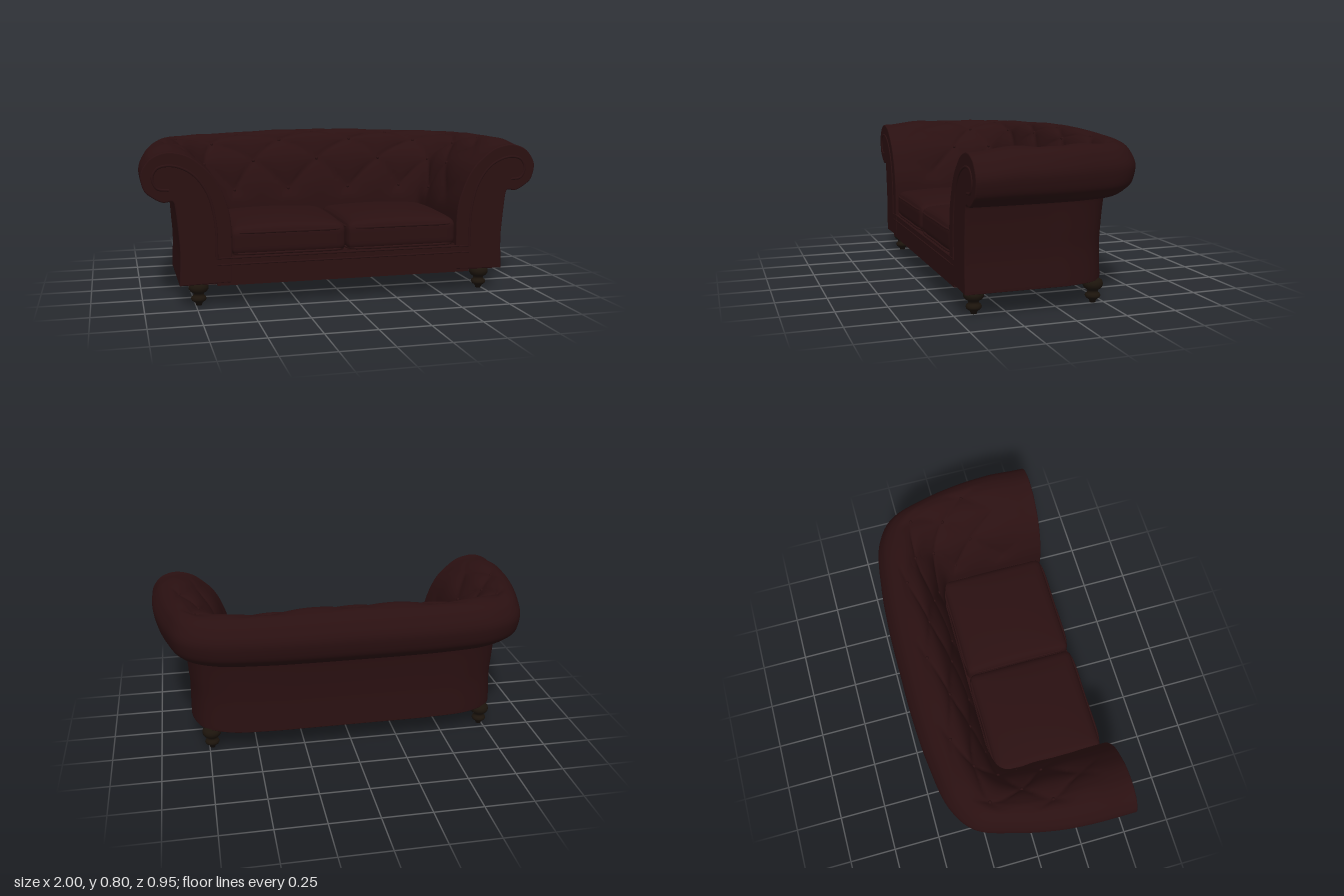
import * as THREE from 'three';

const leather = new THREE.MeshStandardMaterial({ color: 0x2a1011 });
const wood = new THREE.MeshStandardMaterial({ color: 0x1c140c });
const { smoothstep, clamp } = THREE.MathUtils;
const v3 = (x, y, z) => new THREE.Vector3(x, y, z);

function mesh(name, geometry, material = leather) {
  const m = new THREE.Mesh(geometry, material);
  m.name = name;
  return m;
}

// Plan curve: right half given from the front end to the middle of the back, then mirrored
function planCurve(half) {
  const pts = half.map(([x, z]) => v3(x, 0, z));
  const rest = half.slice(0, -1).reverse().map(([x, z]) => v3(-x, 0, z));
  return new THREE.CatmullRomCurve3([...pts, ...rest]);
}
const rollPlan = planCurve([[1, .455], [1, .25], [.985, .08], [.94, -.13], [.87, -.32],
  [.74, -.41], [.5, -.455], [.25, -.473], [0, -.475]]);
const bodyPlan = planCurve([[.83, .455], [.83, .25], [.83, .08], [.825, -.06], [.77, -.2],
  [.64, -.275], [.43, -.298], [.22, -.3], [0, -.3]]);
const seatPlan = planCurve([[.58, .455], [.58, .25], [.58, .08], [.58, -.02], [.565, -.09],
  [.46, -.13], [.33, -.135], [.17, -.135], [0, -.135]]);

// Cross-section: across 0 = seat side, 1 = outer body, 2 = outermost roll
const section = new THREE.CatmullRomCurve3([
  [0, .12], [0, .42], [.12, .54], [.3, .64], [.56, .715], [.8, .76], [1.12, .78], [1.5, .77],
  [1.82, .73], [2, .66], [1.93, .595], [1.7, .55], [1.4, .522], [1.12, .522], [1.08, .5],
  [.98, .3], [1, .13], [1, .115],
].map(([u, y]) => v3(u, y, 0)));
const SECTION_SPANS = 17;

// Point on the arm-and-back shell: t runs round the sofa, s round the section
function shellPoint(t, s) {
  const c = section.getPoint(s);
  const d = 1 - Math.abs(2 * t - 1);
  const k = 1 + .08 * smoothstep(d, .55, 1) - .08 * (1 - smoothstep(d, 0, .12));
  const p = c.x < 1
    ? seatPlan.getPoint(t).lerp(bodyPlan.getPoint(t), c.x)
    : bodyPlan.getPoint(t).lerp(rollPlan.getPoint(t), c.x - 1);
  p.y = c.y > .52 ? .52 + (c.y - .52) * k : c.y;
  return p;
}

// Depth of the diamond tufting, zero on the plain leather
function tuftDepth(t, s) {
  const i = s * SECTION_SPANS, a = t * 16, b = (i - 6) / 1.5;
  const bulge = Math.sqrt(Math.abs(Math.sin(Math.PI * (a + b) / 2) * Math.sin(Math.PI * (a - b) / 2)));
  const fade = smoothstep(i, .9, 1.6) * (1 - smoothstep(i, 6, 6.9))
    * smoothstep(a, .3, 1.3) * smoothstep(16 - a, .3, 1.3);
  return .02 * (1 - bulge) * fade;
}

function shellGeometry() {
  const NT = 192, NS = 119, row = NS + 1, pos = [], index = [];
  for (let i = 0; i <= NT; i++)
    for (let j = 0; j < row; j++) pos.push(...shellPoint(i / NT, j / NS));
  for (let i = 0; i < NT; i++)
    for (let j = 0; j < row; j++) {
      const j2 = (j + 1) % row;
      const a = i * row + j, b = i * row + j2, c = a + row, d = b + row;
      index.push(a, b, c, b, d, c);
    }
  const g = new THREE.BufferGeometry();
  g.setAttribute('position', new THREE.Float32BufferAttribute(pos, 3));
  g.setIndex(index);
  g.computeVertexNormals();
  // press the tufts in along the surface normal
  const P = g.attributes.position, N = g.attributes.normal;
  for (let n = 0; n < P.count; n++) {
    const depth = tuftDepth(Math.floor(n / row) / NT, (n % row) / NS);
    P.setXYZ(n, P.getX(n) - N.getX(n) * depth, P.getY(n) - N.getY(n) * depth, P.getZ(n) - N.getZ(n) * depth);
  }
  g.computeVertexNormals();
  return g;
}

// Buttons at the tuft crossings
function addButtons(group) {
  const ball = new THREE.SphereGeometry(.009, 10, 6);
  for (let b = -3; b <= 0; b++)
    for (let a = 2; a <= 14; a++) {
      if ((a + b) % 2) continue;
      const t = a / 16, s = (b * 1.5 + 6) / SECTION_SPANS, p = shellPoint(t, s);
      const ds = shellPoint(t, s + .005).sub(p), dt = shellPoint(t + .005, s).sub(p);
      const n = ds.cross(dt).normalize();
      const button = mesh('button', ball);
      button.position.copy(p).addScaledVector(n, -.019);
      group.add(button);
    }
}

function piping(name, points, closed = false, radius = .006) {
  const curve = new THREE.CatmullRomCurve3(points, closed);
  return mesh(name, new THREE.TubeGeometry(curve, 80, radius, 8, closed));
}

// Scroll-shaped front of one arm, with its welt
function armFront(side) {
  const group = new THREE.Group();
  group.name = side > 0 ? 'leftArmFront' : 'rightArmFront';
  const outline = [];
  for (let j = 0; j < 100; j++) {
    const p = shellPoint(0, j / 99);
    outline.push(new THREE.Vector2(side * p.x, p.y));
  }
  const g = new THREE.ExtrudeGeometry(new THREE.Shape(outline),
    { depth: .012, bevelThickness: .006, bevelSize: .006, bevelOffset: -.006, bevelSegments: 3 });
  g.translate(0, 0, .452);
  group.add(mesh('armFrontPanel', g));
  const scroll = [[.65, .24], [.655, .42], [.69, .56], [.76, .655], [.85, .695], [.92, .685],
    [.945, .64], [.925, .59], [.87, .58]];
  group.add(piping('scrollWelt', scroll.map(([x, y]) => v3(side * x, y, .468)), false, .007));
  return group;
}

// Soft seat cushion with rounded edges, a crowned top and two welts
function cushion(side) {
  const group = new THREE.Group();
  group.name = side > 0 ? 'leftCushion' : 'rightCushion';
  const w = .576, h = .135, d = .58, r = .035;
  const g = new THREE.BoxGeometry(w, h, d, 32, 12, 32);
  const P = g.attributes.position, v = v3(0, 0, 0), core = v3(0, 0, 0);
  for (let i = 0; i < P.count; i++) {
    v.fromBufferAttribute(P, i);
    core.set(clamp(v.x, r - w / 2, w / 2 - r), clamp(v.y, r - h / 2, h / 2 - r), clamp(v.z, r - d / 2, d / 2 - r));
    v.sub(core).normalize().multiplyScalar(r).add(core);
    const fx = 1 - (2 * v.x / w) ** 2, fz = 1 - (2 * v.z / d) ** 2;
    if (v.y > 0) v.y += .04 * Math.sqrt(Math.max(0, fx * fz)) * (v.y / (h / 2));
    P.setXYZ(i, v.x, v.y, v.z);
  }
  g.computeVertexNormals();
  group.add(mesh('cushionPad', g));
  const X = w / 2 - .006, Z = d / 2 - .004, c = .045;
  for (const y of [.048, -.056]) {
    const loop = [[X, Z - c], [X - c * .3, Z - c * .3], [X - c, Z], [0, Z + .003], [c - X, Z], [c * .3 - X, Z - c * .3],
      [-X, Z - c], [-X, 0], [-X, c - Z], [c * .3 - X, c * .3 - Z], [c - X, -Z], [0, -Z], [X - c, -Z],
      [X - c * .3, c * .3 - Z], [X, c - Z], [X, 0]];
    group.add(piping('cushionWelt', loop.map(([x, z]) => v3(x, y, z)), true));
  }
  group.position.set(side * .291, .312, .172);
  return group;
}

function box(name, w, h, d, x, y, z) {
  const g = new THREE.BoxGeometry(w, h, d);
  g.translate(x, y, z);
  return mesh(name, g);
}

export function createModel() {
  const model = new THREE.Group();
  model.name = 'sofa';

  // rolled arms and back
  const shell = new THREE.Group();
  shell.name = 'armsAndBack';
  shell.add(mesh('tuftedShell', shellGeometry()));
  addButtons(shell);
  model.add(shell);

  // underside, seat deck and front rail
  const plan = bodyPlan.getPoints(64).map(p => new THREE.Vector2(p.x * .96, -p.z * .96));
  const base = new THREE.ExtrudeGeometry(new THREE.Shape(plan), { depth: .1, bevelEnabled: false });
  base.rotateX(-Math.PI / 2);
  base.translate(0, .108, 0);
  model.add(mesh('base', base));
  model.add(box('seatDeck', 1.2, .12, .58, 0, .19, .155));
  model.add(box('frontRail', 1.3, .137, .03, 0, .1755, .453));
  for (const y of [.21, .242])
    model.add(piping('railWelt', [v3(-.65, y, .467), v3(0, y, .467), v3(.65, y, .467)], false, .005));

  for (const side of [1, -1]) model.add(armFront(side), cushion(side));

  // turned feet
  const footProfile = [[0, 0], [.014, 0], [.017, .012], [.034, .025], [.038, .034], [.034, .044], [.025, .05],
    [.026, .062], [.04, .07], [.048, .082], [.049, .094], [.045, .108], [.03, .118], [0, .12]];
  const foot = new THREE.LatheGeometry(footProfile.map(([x, y]) => new THREE.Vector2(x, y)), 28);
  for (const x of [.735, -.735])
    for (const z of [.4, -.2]) {
      const leg = mesh('foot', foot, wood);
      leg.position.set(x, 0, z);
      model.add(leg);
    }
  return model;
}
